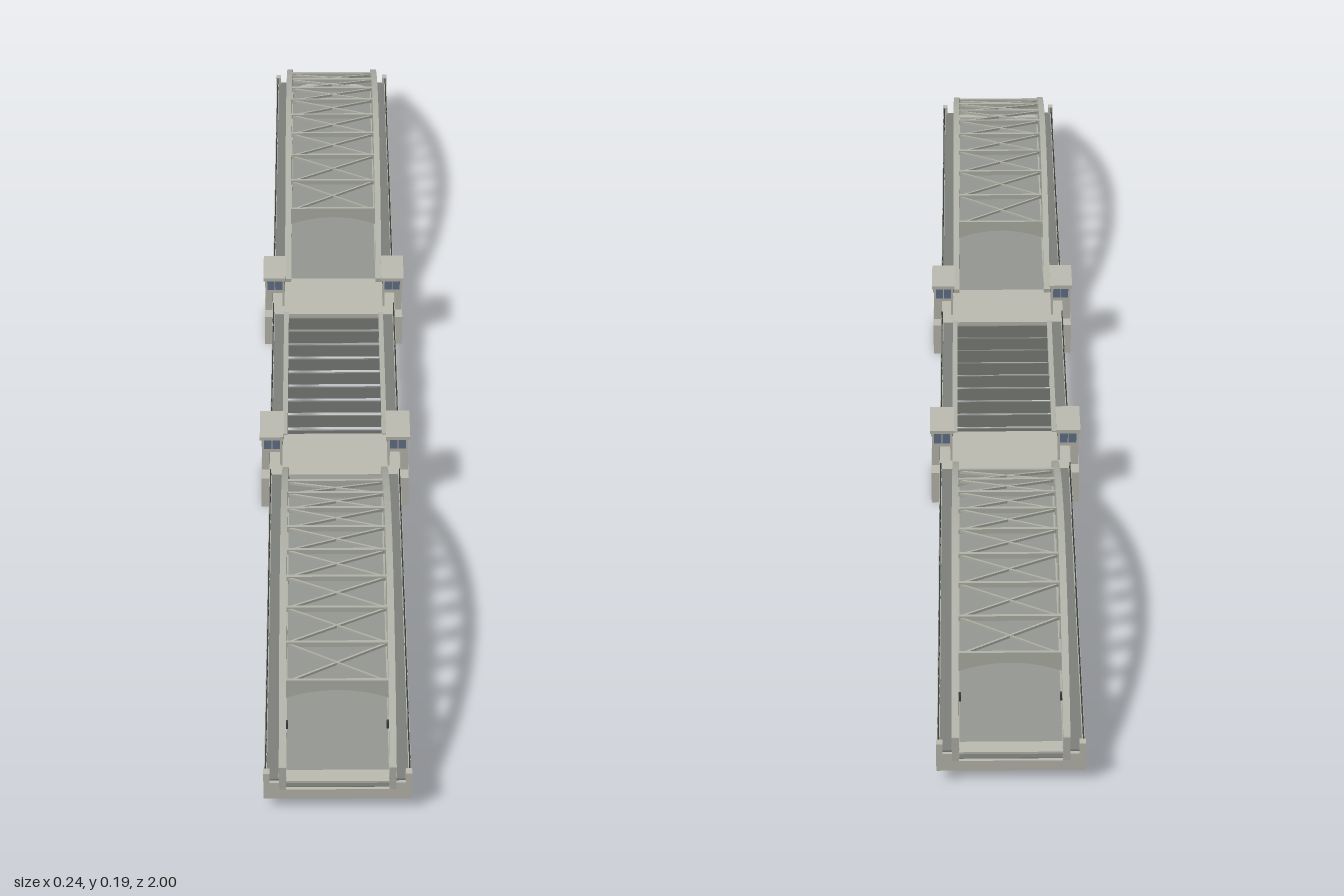
import * as THREE from 'three';

const mat = (name, color) => {
  const m = new THREE.MeshStandardMaterial({ color });
  m.name = name;
  return m;
};

export function createModel() {
  const concrete = mat('concrete', 0xbcbcb2);
  const steel = mat('painted steel', 0xb2b3a9);
  const asphalt = mat('asphalt', 0x959892);
  const girder = mat('girder grey', 0x7d807b);
  const dark = mat('dark iron', 0x3c3e3c);
  const glass = mat('window glass', 0x64748c);

  const add = (parent, name, geo, material) => {
    const m = new THREE.Mesh(geo, material);
    m.name = name;
    parent.add(m);
    return m;
  };
  // box from its limits
  const box = (p, name, m, x0, x1, y0, y1, z0, z1) =>
    add(p, name, new THREE.BoxGeometry(Math.abs(x1 - x0), y1 - y0, z1 - z0)
      .translate((x0 + x1) / 2, (y0 + y1) / 2, (z0 + z1) / 2), m);
  // side outline [z, y] extended from x0 to x1
  const prism = (p, name, m, pts, x0, x1) => {
    const shape = new THREE.Shape(pts.map(([z, y]) => new THREE.Vector2(z, y)));
    const g = new THREE.ExtrudeGeometry(shape, { depth: x1 - x0, bevelEnabled: false });
    return add(p, name, g.rotateY(-Math.PI / 2).translate(x1, 0, 0), m);
  };
  // square bar between two points
  const bar = (p, name, m, a, b, w, h = w) => {
    const A = new THREE.Vector3(...a), B = new THREE.Vector3(...b);
    const o = add(p, name, new THREE.BoxGeometry(w, h, A.distanceTo(B)), m);
    o.position.copy(A).add(B).multiplyScalar(0.5);
    o.lookAt(B);
    return o;
  };

  const archTop = z => 0.19 - 0.12 * ((z - 0.64) / 0.365) ** 2;
  const roadY = z => 0.061 - 0.013 * (z - 0.28) / 0.72;
  const slab = (p, name, m, top, bottom, x0, x1, z0 = 0.28, z1 = 0.995) =>
    prism(p, name, m, [[z0, roadY(z0) + bottom], [z1, roadY(z1) + bottom],
      [z1, roadY(z1) + top], [z0, roadY(z0) + top]], x0, x1);

  // railing along z, following a height rule
  const railing = (p, x, z0, z1, yAt, n) => {
    const g = new THREE.Group();
    g.name = 'railing';
    p.add(g);
    for (const h of [0.006, 0.012])
      bar(g, 'rail', dark, [x, yAt(z0) + h, z0], [x, yAt(z1) + h, z1], 0.0014);
    for (let i = 0; i <= n; i++) {
      const z = z0 + (z1 - z0) * i / n;
      box(g, 'railPost', dark, x - 0.001, x + 0.001, yAt(z), yAt(z) + 0.0125, z - 0.001, z + 0.001);
    }
  };

  const buildHalf = () => {
    const half = new THREE.Group();
    half.name = 'bridgeHalf';

    // sloping approach deck
    slab(half, 'roadway', asphalt, 0, -0.012, -0.083, 0.083);
    slab(half, 'deckUnderside', girder, -0.012, -0.014, -0.083, 0.083);

    // end abutment with raised cheeks
    box(half, 'abutment', concrete, -0.105, 0.105, 0.018, 0.035, 0.975, 1);
    box(half, 'abutmentSill', concrete, -0.075, 0.075, 0.046, 0.0495, 0.975, 0.999);

    // river pier and its road platform
    box(half, 'pier', concrete, -0.117, 0.117, 0, 0.055, 0.178, 0.286);
    box(half, 'pierPlatform', concrete, -0.1, 0.1, 0.055, 0.063, 0.175, 0.286);

    for (const s of [-1, 1]) {
      const side = new THREE.Group();
      side.name = s > 0 ? 'leftSide' : 'rightSide';
      half.add(side);
      const sx = (a, b) => s > 0 ? [a, b] : [-b, -a];

      // walkway, edge beam, abutment cheek
      slab(side, 'walkway', girder, 0.002, -0.006, ...sx(0.083, 0.1));
      slab(side, 'edgeBeam', steel, 0.004, -0.014, ...sx(0.1, 0.104));
      slab(side, 'kerb', steel, 0.005, -0.013, ...sx(0.0725, 0.0835));
      box(side, 'abutmentCheek', concrete, ...sx(0.083, 0.105), 0.03, 0.047, 0.975, 1);
      box(side, 'endPost', concrete, ...sx(0.096, 0.105), 0.045, 0.064, 0.988, 1);
      railing(side, s * 0.102, 0.29, 0.985, z => roadY(z) + 0.003, 30);

      // arch rib
      const up = [], down = [];
      for (let i = 0; i <= 32; i++) {
        const z = 0.275 + 0.725 * i / 32;
        up.push([z, archTop(z)]);
        down.unshift([z, Math.max(archTop(z) - 0.017 - 0.007 * ((z - 0.64) / 0.36) ** 2, roadY(z) - 0.005)]);
      }
      prism(side, 'archRib', steel, [...up, ...down], ...sx(0.073, 0.083));
      box(side, 'archFoot', steel, ...sx(0.073, 0.083), 0.035, 0.075, 0.985, 1);

      // hangers
      for (let i = 0; i < 10; i++) {
        const z = 0.352 + i * 0.064;
        box(side, 'hanger', steel, ...sx(0.0745, 0.0815), roadY(z), archTop(z) - 0.015, z - 0.0045, z + 0.0045);
      }
      box(side, 'signalLamp', dark, ...sx(0.07, 0.0735), 0.085, 0.097, 0.922, 0.928);

      // gatehouse with a passage for the walkway
      const house = new THREE.Group();
      house.name = 'gatehouse';
      side.add(house);
      box(house, 'outerWall', concrete, ...sx(0.104, 0.116), 0.055, 0.09, 0.2, 0.262);
      box(house, 'innerWall', concrete, ...sx(0.0835, 0.087), 0.055, 0.09, 0.2, 0.262);
      box(house, 'cabin', concrete, ...sx(0.0835, 0.116), 0.09, 0.116, 0.2, 0.262);
      box(house, 'roof', concrete, ...sx(0.081, 0.119), 0.116, 0.122, 0.195, 0.267);
      for (const x of [0.087, 0.1005])
        for (const z of [0.1995, 0.2615])
          box(house, 'endWindow', glass, ...sx(x, x + 0.012), 0.096, 0.113, z, z + 0.001);
      for (const x of [0.083, 0.1155]) {
        box(house, 'windowFrame', dark, ...sx(x, x + 0.001), 0.095, 0.113, 0.221, 0.241);
        box(house, 'sideWindow', glass, ...sx(x - 0.0003, x + 0.0013), 0.097, 0.111, 0.223, 0.239);
      }
    }

    // overhead bracing between the ribs
    const bracing = new THREE.Group();
    bracing.name = 'overheadBracing';
    half.add(bracing);
    const n = 8, zs = [...Array(n + 1)].map((_, i) => 0.4 + 0.48 * i / n);
    const yb = z => archTop(z) - 0.008;
    zs.forEach((z, i) => {
      if (i > 0 && i < n) box(bracing, 'crossStrut', steel, -0.074, 0.074, yb(z) - 0.004, yb(z) + 0.004, z - 0.0025, z + 0.0025);
      if (i < n)
        for (const s of [-1, 1])
          bar(bracing, 'diagonal', steel, [-0.073 * s, yb(z), z], [0.073 * s, yb(zs[i + 1]), zs[i + 1]], 0.003, 0.004);
    });

    // portal frames with a curved lower edge
    for (const z of [0.4, 0.88]) {
      const shape = new THREE.Shape();
      shape.moveTo(-0.074, 0.104);
      shape.quadraticCurveTo(0, 0.133, 0.074, 0.104);
      shape.lineTo(0.074, 0.136);
      shape.lineTo(-0.074, 0.136);
      const g = new THREE.ExtrudeGeometry(shape, { depth: 0.005, bevelEnabled: false, curveSegments: 16 });
      add(bracing, 'portalFrame', g.translate(0, 0, z - 0.0025), steel);
    }
    return half;
  };

  const model = new THREE.Group();
  model.name = 'bridge';
  const front = buildHalf();
  const back = buildHalf();
  back.rotation.y = Math.PI;
  model.add(front, back);

  // open centre span: side girders, walkways and upright cross plates
  const span = new THREE.Group();
  span.name = 'centreSpan';
  model.add(span);
  for (const s of [-1, 1]) {
    box(span, 'sideGirder', steel, s * 0.076, s * 0.084, 0.044, 0.065, -0.178, 0.178);
    box(span, 'spanWalkway', girder, s * 0.084, s * 0.1, 0.056, 0.062, -0.178, 0.178);
    box(span, 'spanEdge', steel, s * 0.1, s * 0.104, 0.05, 0.065, -0.178, 0.178);
    railing(span, s * 0.102, -0.19, 0.19, () => 0.063, 16);
  }
  for (let i = 0; i <= 8; i++) {
    const z = -0.164 + 0.041 * i;
    box(span, 'crossPlate', girder, -0.077, 0.077, 0.04, 0.062, z - 0.0015, z + 0.0015);
  }
  return model;
}
